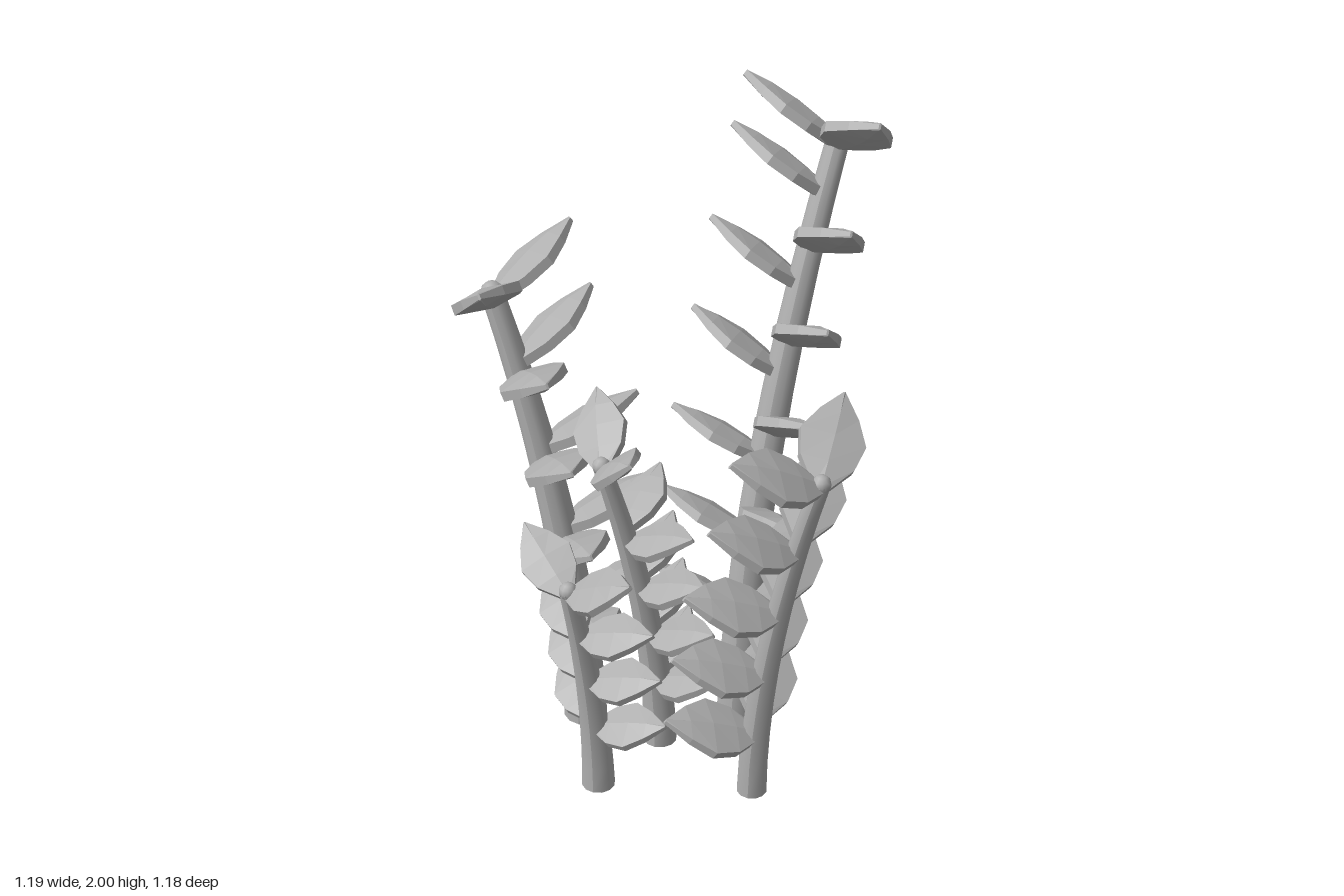
import * as THREE from 'three';

const gray = new THREE.MeshStandardMaterial({ color: 0xb0b0b0 });
gray.name = 'plainGray';

// base, top, radii, f = horizontal facing of the leaves.
// Each stem has a pair of leaves at its top, then a row down each side: first height, last height, count.
// Leaves above "split" use the upper offset, the rest the lower one, as (forward, up, sideways).
const STEMS = [
  { name: 'tallStem', base: [0.17, 0, -0.17], top: [0.35, 1.85, -0.48], r: [0.066, 0.035], f: [-0.5, 0.866],
    rowA: [1.69, 0.35, 6], rowB: [1.54, 0.43, 5],
    split: 0.9, upper: [0.113, 0.165, 0.26], lower: [0.13, 0.125, 0.265] },
  { name: 'leftLeaningStem', base: [-0.28, 0, -0.01], top: [-0.545, 1.43, -0.04], r: [0.068, 0.035], f: [0.99, 0.14],
    rowA: [1.17, 0.36, 4], rowB: [1.21, 0.4, 4],
    split: 1.19, upper: [0.11, 0.16, 0.27], lower: [0.21, 0.135, 0.22] },
  { name: 'rightLeaningStem', base: [0.32, 0, 0.195], top: [0.51, 1.16, 0.255], r: [0.046, 0.027], f: [-0.92, -0.39],
    rowA: [0.95, 0.27, 4], rowB: [0.9, 0.21, 4],
    split: 0.8, upper: [0.11, 0.15, 0.25], lower: [0.14, 0.13, 0.25] },
  { name: 'middleStem', base: [0, 0.05, 0.1], top: [-0.13, 1.08, 0.225], r: [0.052, 0.026], f: [0.86, -0.51],
    rowA: [0.8, 0.27, 4], rowB: [0.84, 0.3, 4],
    split: 1, upper: [0.03, 0.145, 0.22], lower: [0.15, 0.1, 0.18] },
  { name: 'frontStem', base: [-0.11, 0.05, 0.36], top: [-0.145, 0.82, 0.48], r: [0.05, 0.026], f: [0.48, -0.87],
    rowA: [0.63, 0.27, 3], rowB: [0.63, 0.3, 3],
    split: 0.7, upper: [0.03, 0.125, 0.22], lower: [0.08, 0.08, 0.22] },
];
const UPPER_NORMAL = [-0.52, 0.8, -0.3];
const LOWER_NORMAL = [-0.45, 0.82, -0.1];

// Point on a stem axis at height y: it bends outward towards the top
function stemPoint(s, y) {
  const t = Math.max(0, (y - s.base[1]) / (s.top[1] - s.base[1]));
  const k = Math.pow(t, 1.8);
  return new THREE.Vector3(
    s.base[0] + (s.top[0] - s.base[0]) * k, y, s.base[2] + (s.top[2] - s.base[2]) * k);
}

function stemGeometry(s) {
  const h = s.top[1] - s.base[1];
  const g = new THREE.CylinderGeometry(s.r[1], s.r[0], h, 12, 10);
  g.translate(0, s.base[1] + h / 2, 0);
  const p = g.attributes.position;
  for (let i = 0; i < p.count; i++) {
    const c = stemPoint(s, p.getY(i));
    p.setXYZ(i, p.getX(i) + c.x, p.getY(i), p.getZ(i) + c.z);
  }
  g.computeVertexNormals();
  return g;
}

// Faceted spear-shaped leaf along +z, unit length: six-sided sections with a central ridge
function leafGeometry() {
  const sections = [ // position, half width, ridge half height, rim half height
    [0, 0.07, 0.065, 0.045], [0.26, 0.25, 0.085, 0.045], [0.52, 0.305, 0.09, 0.045],
    [0.76, 0.185, 0.075, 0.04], [1, 0.01, 0.03, 0.02],
  ];
  const pos = [], idx = [];
  for (const [z, w, r, e] of sections)
    pos.push(w, e, z, 0, r, z, -w, e, z, -w, -e, z, 0, -r, z, w, -e, z);
  for (let i = 0; i < sections.length - 1; i++)
    for (let j = 0; j < 6; j++) {
      const a = i * 6 + j, b = i * 6 + (j + 1) % 6;
      idx.push(a, b, b + 6, a, b + 6, a + 6);
    }
  const last = (sections.length - 1) * 6;
  for (let j = 1; j < 5; j++) {
    idx.push(0, j + 1, j);
    idx.push(last, last + j, last + j + 1);
  }
  const indexed = new THREE.BufferGeometry();
  indexed.setAttribute('position', new THREE.Float32BufferAttribute(pos, 3));
  indexed.setIndex(idx);
  const g = indexed.toNonIndexed();
  g.computeVertexNormals();
  return g;
}

// Leaf growing from the stem at height y, on side +1 or -1
function addLeaf(group, geometry, s, y, side) {
  const forward = new THREE.Vector3(s.f[0], 0, s.f[1]).normalize();
  const across = new THREE.Vector3(-forward.z, 0, forward.x).multiplyScalar(side);
  const up = new THREE.Vector3(0, 1, 0);
  const mix = (a, b, c) => new THREE.Vector3()
    .addScaledVector(forward, a).addScaledVector(up, b).addScaledVector(across, c);
  const isUpper = y > s.split;
  const dir = mix(...(isUpper ? s.upper : s.lower));
  const length = dir.length();
  dir.normalize();
  const normal = mix(...(isUpper ? UPPER_NORMAL : LOWER_NORMAL));
  normal.addScaledVector(dir, -normal.dot(dir)).normalize();
  const width = new THREE.Vector3().crossVectors(normal, dir);

  const leaf = new THREE.Mesh(geometry, gray);
  leaf.name = 'leaf';
  leaf.quaternion.setFromRotationMatrix(new THREE.Matrix4().makeBasis(width, normal, dir));
  leaf.position.copy(stemPoint(s, y));
  leaf.scale.setScalar(length);
  group.add(leaf);
}

// Evenly spaced leaves down one side of a stem, below the top one
function addLeafRow(group, geometry, s, [first, last, count], side) {
  addLeaf(group, geometry, s, s.top[1] - 0.02, side);
  for (let i = 0; i < count; i++)
    addLeaf(group, geometry, s, THREE.MathUtils.lerp(first, last, i / (count - 1)), side);
}

export function createModel() {
  const model = new THREE.Group();
  model.name = 'leafyStems';
  const leaf = leafGeometry();
  for (const s of STEMS) {
    const plant = new THREE.Group();
    plant.name = s.name;

    const stem = new THREE.Mesh(stemGeometry(s), gray);
    stem.name = 'stem';
    plant.add(stem);

    // Rounded stem end
    const tip = new THREE.Mesh(new THREE.SphereGeometry(s.r[1] * 1.03, 10, 6), gray);
    tip.name = 'stemTip';
    tip.position.set(...s.top);
    plant.add(tip);

    addLeafRow(plant, leaf, s, s.rowA, 1);
    addLeafRow(plant, leaf, s, s.rowB, -1);
    model.add(plant);
  }
  return model;
}
